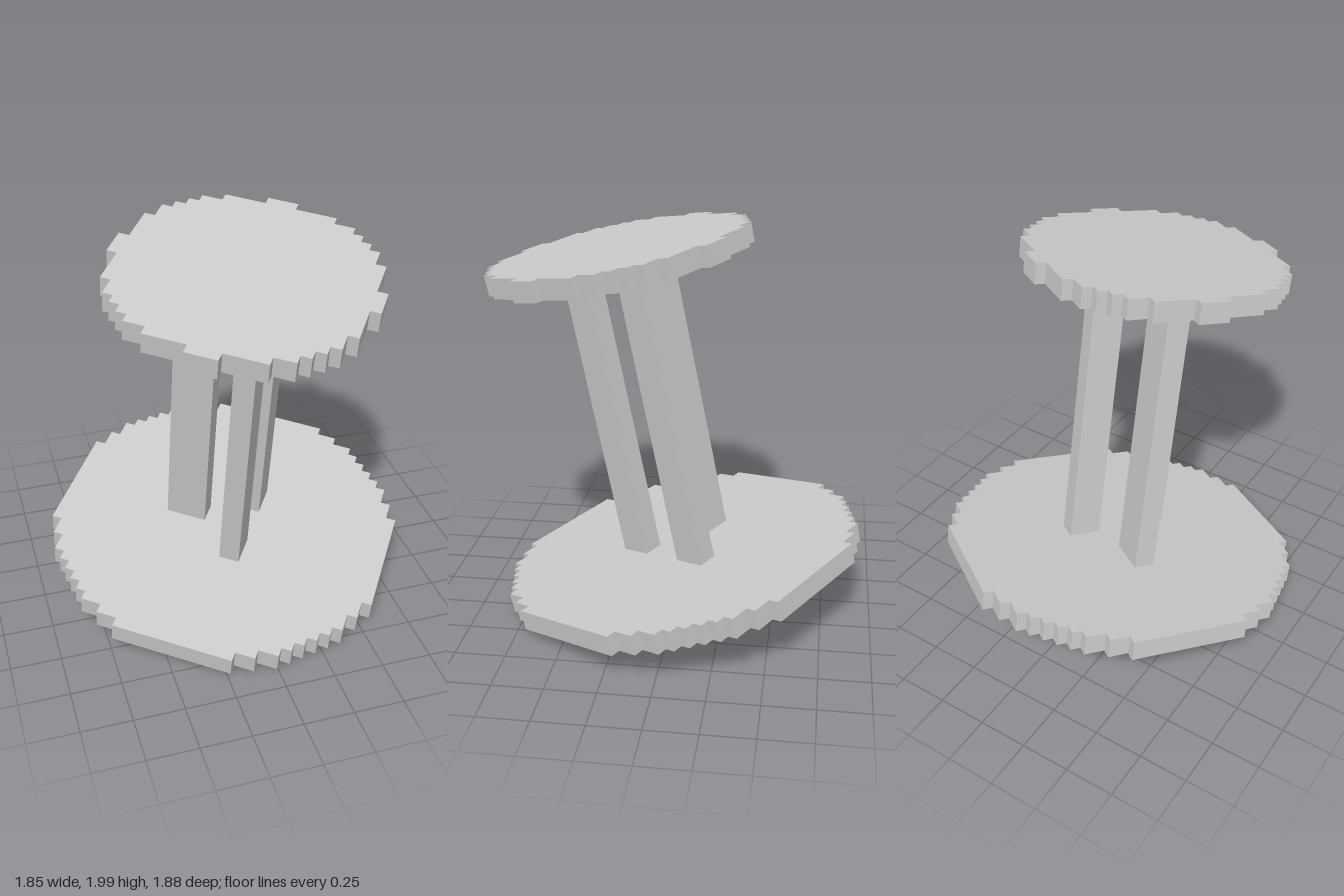
import * as THREE from 'three';

const material = new THREE.MeshStandardMaterial({ color: 0xcccccc, flatShading: true });

// Stair-stepped disc: outer corners of one quadrant, turned four times
function steppedDisc(name, corners, unit, bottom, top) {
  const points = [];
  for (let q = 0; q < 4; q++) {
    const turn = (x, y) => {
      for (let i = 0; i < q; i++) [x, y] = [y, -x];
      points.push(new THREE.Vector2(x * unit, y * unit));
    };
    corners.forEach(([x, y], i) => {
      turn(x, y);
      if (i < corners.length - 1) turn(x, corners[i + 1][1]);
    });
  }
  const geometry = new THREE.ExtrudeGeometry(new THREE.Shape(points), {
    depth: top - bottom, bevelEnabled: false,
  });
  geometry.rotateX(-Math.PI / 2);
  geometry.translate(0, bottom, 0);
  const mesh = new THREE.Mesh(geometry, material);
  mesh.name = name;
  return mesh;
}

// Mirror half a quadrant across its diagonal
const quadrant = (half) => [...half, ...half.map(([x, y]) => [y, x]).reverse()];

// Square-cut post given by its x and z ranges
function post(name, x0, x1, z0, z1, bottom, top) {
  const mesh = new THREE.Mesh(new THREE.BoxGeometry(x1 - x0, top - bottom, z1 - z0), material);
  mesh.position.set((x0 + x1) / 2, (bottom + top) / 2, (z0 + z1) / 2);
  mesh.name = name;
  return mesh;
}

export function createModel() {
  const spool = new THREE.Group();
  spool.name = 'spool';

  // Wide lower disc and smaller upper disc
  const baseTop = 0.279, capBottom = 1.794;
  spool.add(steppedDisc('baseDisc',
    quadrant([[6, 17], [8, 16], [10, 15], [11, 14], [12, 13]]), 0.0513, 0.176, baseTop));
  spool.add(steppedDisc('topDisc',
    quadrant([[1.5, 12.5], [5.5, 11.5], [7.5, 10.5], [8.5, 9.5]]), 0.0508, capBottom, 1.895));

  // Three posts: one wide, and a mirrored pair
  spool.add(post('widePost', -0.312, -0.102, -0.053, 0.053, baseTop, capBottom));
  spool.add(post('frontPost', 0.05, 0.155, 0.107, 0.27, baseTop, capBottom));
  spool.add(post('rearPost', 0.05, 0.155, -0.27, -0.107, baseTop, capBottom));

  // Turn about its own axis, then lean forward
  spool.rotation.y = THREE.MathUtils.degToRad(-34);
  spool.position.z = -0.067;
  const lean = new THREE.Group();
  lean.name = 'leaningSpool';
  lean.rotation.x = THREE.MathUtils.degToRad(11.2);
  lean.add(spool);

  const model = new THREE.Group();
  model.name = 'model';
  model.add(lean);
  return model;
}
